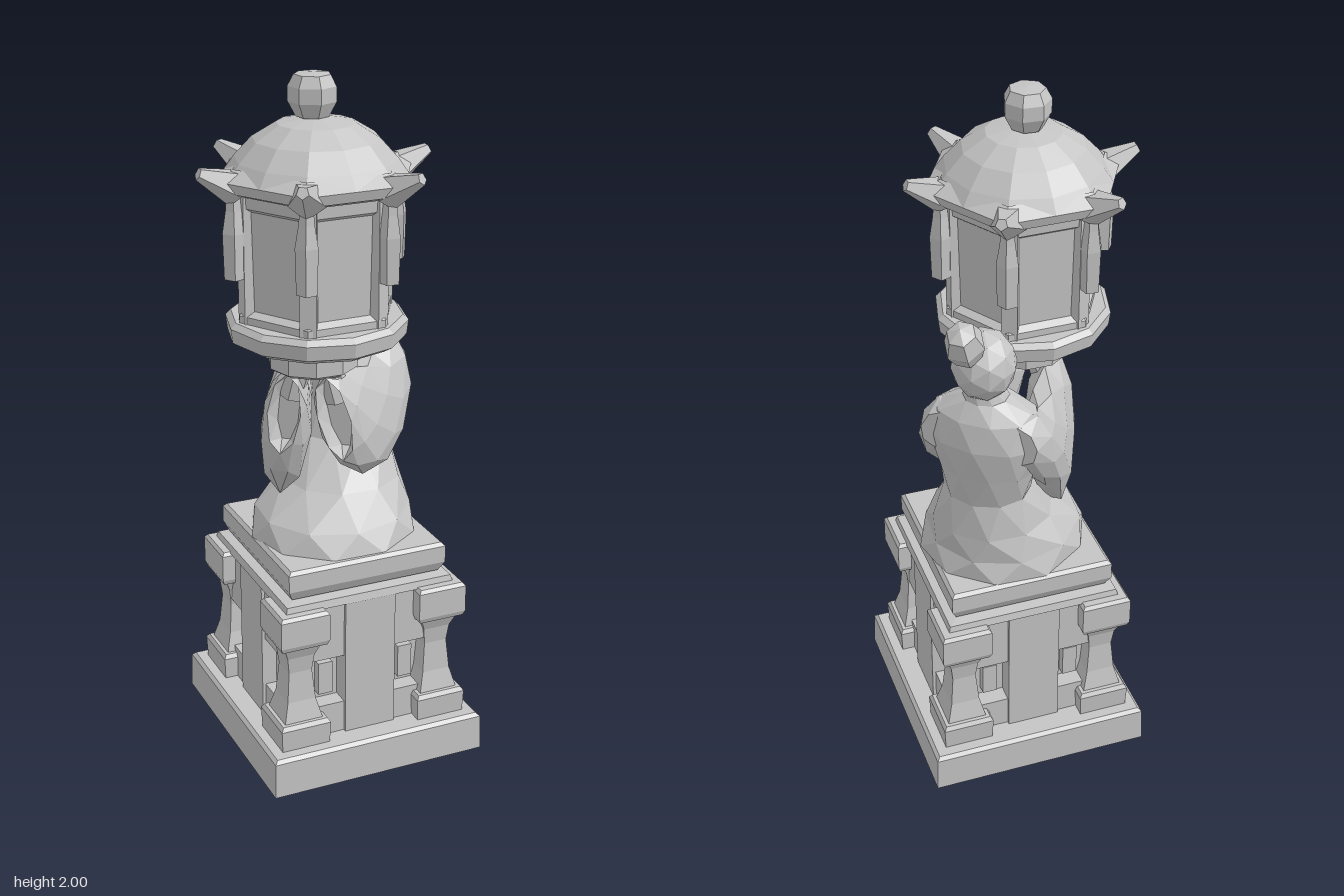
import * as THREE from 'three';

const stone = new THREE.MeshStandardMaterial({ color: 0xc4c4c4, flatShading: true, side: THREE.DoubleSide });
stone.name = 'stone grey';

function add(parent, name, geometry, x = 0, y = 0, z = 0) {
  const mesh = new THREE.Mesh(geometry, stone);
  mesh.name = name;
  mesh.position.set(x, y, z);
  parent.add(mesh);
  return mesh;
}

function group(parent, name) {
  const g = new THREE.Group();
  g.name = name;
  parent.add(g);
  return g;
}

// Box given by its centre in x and z and its bottom and top
function block(parent, name, x, z, w, d, y0, y1) {
  return add(parent, name, new THREE.BoxGeometry(w, y1 - y0, d), x, (y0 + y1) / 2, z);
}

// Many-sided turned shape from [radius, y] pairs
function turned(parent, name, profile, sides, phase = 0) {
  const points = profile.map(([r, y]) => new THREE.Vector2(r, y));
  return add(parent, name, new THREE.LatheGeometry(points, sides, phase));
}

// Square shape from [half width, y] pairs
function squared(parent, name, profile) {
  return turned(parent, name, profile.map(([h, y]) => [h * Math.SQRT2, y]), 4, Math.PI / 4);
}

// Skin over elliptical rings [x, y, z, a, b], flat in y or upright in z with a sideways lean
function loft(parent, name, rings, sides, upright, lean = 0) {
  const pos = [], index = [];
  rings.forEach(([x, y, z, a, b], i) => {
    for (let j = 0; j < sides; j++) {
      const t = ((j + (i % 2) * 0.5) / sides) * Math.PI * 2;
      const p = a * Math.cos(t), q = b * Math.sin(t);
      if (upright) pos.push(x + p + lean * q, y + q, z);
      else pos.push(x + p, y, z - q);
      if (i === 0) continue;
      const k = (j + 1) % sides, lo = (i - 1) * sides, hi = i * sides;
      if (i % 2) index.push(lo + j, lo + k, hi + j, lo + k, hi + k, hi + j);
      else index.push(lo + j, hi + k, hi + j, lo + j, lo + k, hi + k);
    }
  });
  // End caps
  const last = (rings.length - 1) * sides;
  for (let j = 1; j < sides - 1; j++) index.push(0, j + 1, j, last, last + j, last + j + 1);
  const geo = new THREE.BufferGeometry();
  geo.setAttribute('position', new THREE.Float32BufferAttribute(pos, 3));
  geo.setIndex(index);
  geo.computeVertexNormals();
  return add(parent, name, geo);
}

function buildPedestal(root) {
  const g = group(root, 'pedestal');
  g.rotation.y = -0.61;
  g.scale.set(1.03, 1, 0.97);
  // Hollow plinth, open below
  squared(g, 'plinth', [[0.338, 0], [0.335, 0.105], [0.325, 0.115], [0, 0.115]]);
  squared(g, 'core', [[0.205, 0.115], [0.205, 0.54]]);
  squared(g, 'cornice', [[0.25, 0.52], [0.268, 0.53], [0.262, 0.552], [0.2, 0.56]]);
  squared(g, 'topSlab', [[0.2, 0.55], [0.235, 0.56], [0.25, 0.59], [0.25, 0.64], [0.24, 0.65], [0, 0.65]]);
  for (let k = 0; k < 4; k++) {
    const side = group(g, 'pedestalSide');
    side.rotation.y = k * Math.PI / 2;
    // Corner post with a foot and a capital
    const corner = group(side, 'cornerPost');
    corner.position.set(0.22, 0, 0.22);
    squared(corner, 'foot', [[0.075, 0.115], [0.078, 0.18], [0.07, 0.192], [0, 0.192]]);
    squared(corner, 'post', [[0.06, 0.19], [0.044, 0.25], [0.036, 0.34], [0.042, 0.39], [0.062, 0.44]]);
    squared(corner, 'capital', [[0, 0.43], [0.07, 0.43], [0.076, 0.445], [0.076, 0.525], [0.068, 0.535], [0, 0.535]]);
    // Face with two openings beside a middle pillar
    block(side, 'sill', 0, 0.225, 0.38, 0.06, 0.115, 0.21);
    block(side, 'lintel', 0, 0.225, 0.38, 0.06, 0.36, 0.53);
    block(side, 'middlePillar', 0, 0.23, 0.16, 0.07, 0.115, 0.53);
    for (const s of [-1, 1]) block(side, 'windowBlock', s * 0.13, 0.21, 0.045, 0.045, 0.235, 0.335);
  }
}

function buildFigure(root) {
  const g = group(root, 'kneelingFigure');
  g.position.set(-0.05, 0, -0.15);
  g.rotation.y = 0.27;
  loft(g, 'robe', [
    [0.01, 0.645, 0.15, 0.245, 0.265], [0.005, 0.71, 0.14, 0.225, 0.24], [0.015, 0.79, 0.085, 0.175, 0.185],
    [0.01, 0.9, 0.03, 0.125, 0.115], [0, 1.0, 0, 0.14, 0.1], [0, 1.1, 0, 0.172, 0.11],
    [0, 1.18, 0.005, 0.15, 0.1], [0, 1.23, 0, 0.065, 0.065], [0, 1.27, -0.01, 0.045, 0.045],
  ], 10, false);
  // Head and tied hair
  const head = add(g, 'head', new THREE.IcosahedronGeometry(0.095, 1), 0, 1.335, -0.015);
  head.scale.set(0.95, 1.08, 1);
  const bun = add(g, 'hairBun', new THREE.SphereGeometry(0.06, 6, 4), 0.022, 1.44, -0.098);
  bun.scale.set(0.95, 1.2, 1);
  bun.rotation.x = -0.45;
  for (const s of [-1, 1]) {
    const drop = s < 0 ? 0.045 : 0;
    // Wide hanging sleeve with a hollow cuff
    loft(g, 'sleeve', [
      [s * 0.12, 1.12, -0.06, 0.05, 0.06], [s * 0.135, 1.09, 0, 0.065, 0.11], [s * 0.135, 1.03, 0.08, 0.065, 0.13],
      [s * 0.12, 1.015 - drop, 0.17, 0.072, 0.15 + drop], [s * 0.095, 1.02 - drop, 0.265, 0.075, 0.155 + drop],
      [s * 0.08, 1.045 - drop / 2, 0.335, 0.066, 0.135 + drop / 2], [s * 0.072, 1.06, 0.36, 0.048, 0.12],
      [s * 0.072, 1.06, 0.31, 0.032, 0.1],
    ], 8, true, s < 0 ? 0.1 : -0.22);
    // Hand under the lantern
    const hand = add(g, 'hand', new THREE.CylinderGeometry(0.04, 0.034, 0.14, 6), s * 0.05, 1.16, 0.3);
    hand.rotation.z = s * 0.25;
  }
}

function buildLantern(root) {
  const g = group(root, 'lantern');
  g.position.set(0.04, 0, 0.145);
  const phase = 0.45;
  turned(g, 'neck', [[0, 1.19], [0.11, 1.19], [0.125, 1.2], [0.125, 1.245], [0.15, 1.255], [0.155, 1.285]], 10).position.x = -0.012;
  turned(g, 'gallery', [[0, 1.28], [0.22, 1.28], [0.245, 1.295], [0.25, 1.335], [0.235, 1.35], [0, 1.35]], 12, phase);
  turned(g, 'baseMoulding', [[0.225, 1.345], [0.225, 1.37], [0.2, 1.385]], 6, phase);
  turned(g, 'panels', [[0.202, 1.34], [0.21, 1.72]], 6, phase);
  turned(g, 'topMoulding', [[0.2, 1.65], [0.222, 1.665], [0.225, 1.71]], 6, phase);
  turned(g, 'eaves', [[0, 1.695], [0.24, 1.7], [0.272, 1.712], [0.282, 1.74], [0.235, 1.768]], 6, phase);
  turned(g, 'domeRoof', [[0.245, 1.74], [0.218, 1.778], [0.17, 1.83], [0.105, 1.87], [0, 1.89]], 12, phase);
  turned(g, 'finial', [[0, 1.88], [0.045, 1.885], [0.066, 1.925], [0.066, 1.965], [0.05, 1.995], [0, 2]], 7).position.x = -0.01;
  for (let k = 0; k < 6; k++) {
    const corner = group(g, 'lanternCorner');
    corner.rotation.y = phase + k * Math.PI / 3;
    block(corner, 'frameBar', 0, 0.2, 0.045, 0.035, 1.35, 1.71);
    // Upturned eave tip
    const tip = add(corner, 'eaveTip', new THREE.CylinderGeometry(0.017, 0.052, 0.115, 5), 0, 1.743, 0.278);
    tip.rotation.x = 1.15;
    // Hanging tassel
    const tassel = group(corner, 'tassel');
    tassel.position.z = 0.236;
    turned(tassel, 'tasselBody', [[0, 1.47], [0.029, 1.475], [0.032, 1.6], [0.022, 1.66], [0.018, 1.71]], 5);
  }
}

export function createModel() {
  const root = new THREE.Group();
  root.name = 'figureWithLantern';
  buildPedestal(root);
  buildFigure(root);
  buildLantern(root);
  return root;
}
